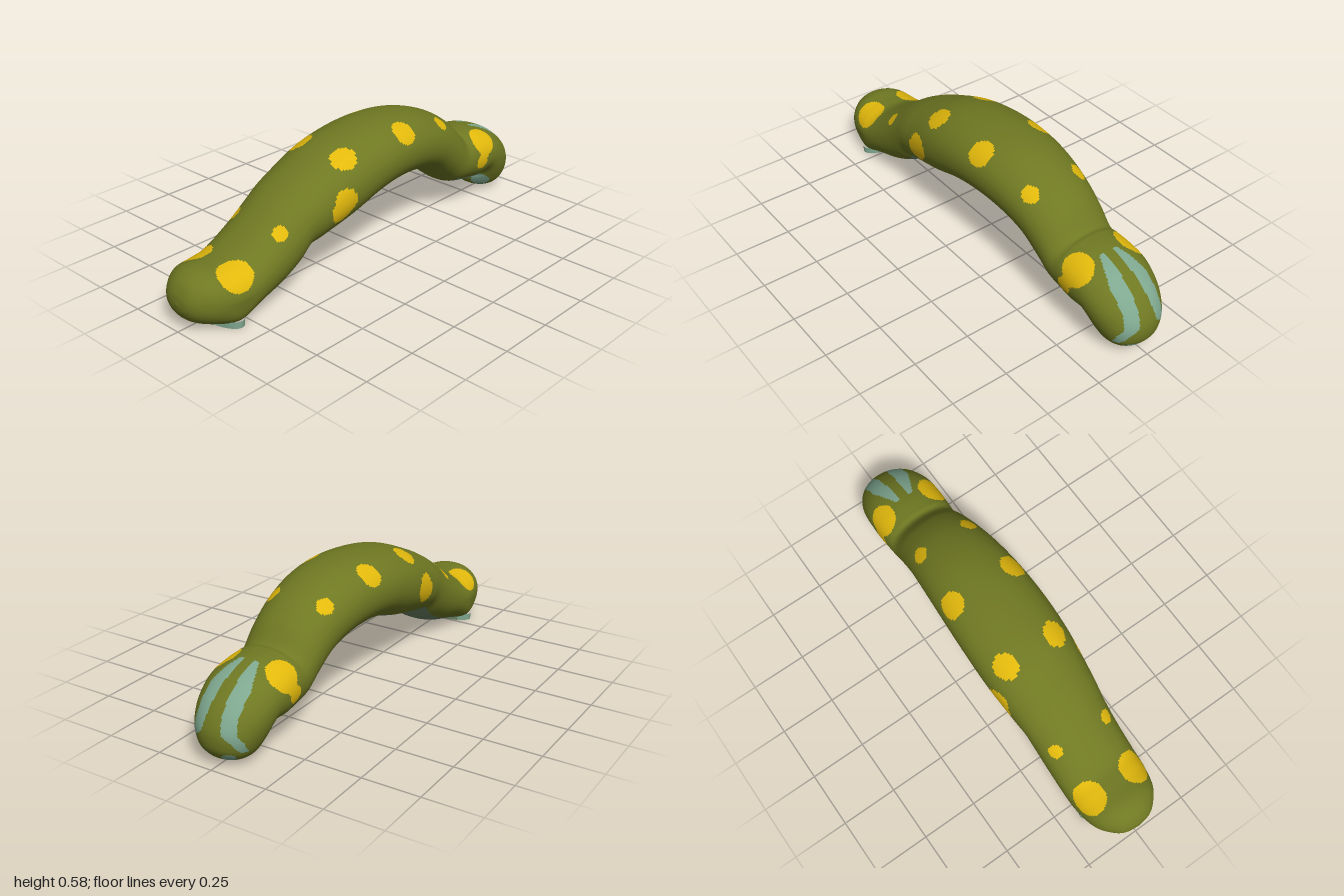
import * as THREE from 'three';

const mat = (name, color) => {
  const m = new THREE.MeshStandardMaterial({ color });
  m.name = name;
  return m;
};

// Body stations: top x, top y, bottom x, bottom y, half width
const stations = [
  [-1, 0.12, -1, 0.12, 0], [-0.99, 0.165, -0.99, 0.08, 0.06], [-0.96, 0.21, -0.96, 0.04, 0.105],
  [-0.9, 0.238, -0.9, 0.013, 0.15], [-0.81, 0.24, -0.81, 0.005, 0.172], [-0.73, 0.254, -0.72, 0.015, 0.177],
  [-0.61, 0.328, -0.59, 0.045, 0.178], [-0.52, 0.392, -0.48, 0.1, 0.18], [-0.46, 0.427, -0.42, 0.16, 0.184],
  [-0.39, 0.463, -0.35, 0.175, 0.192], [-0.22, 0.534, -0.18, 0.215, 0.207], [-0.05, 0.567, -0.02, 0.267, 0.209],
  [0.12, 0.577, 0.12, 0.287, 0.203], [0.28, 0.56, 0.27, 0.278, 0.191], [0.43, 0.51, 0.39, 0.24, 0.177],
  [0.54, 0.44, 0.48, 0.175, 0.168], [0.61, 0.366, 0.55, 0.128, 0.164], [0.65, 0.363, 0.63, 0.11, 0.167],
  [0.72, 0.357, 0.7, 0.1, 0.17], [0.8, 0.337, 0.76, 0.105, 0.168], [0.88, 0.297, 0.772, 0.088, 0.162],
  [0.95, 0.235, 0.772, 0.07, 0.152], [0.992, 0.16, 0.778, 0.05, 0.135], [0.994, 0.09, 0.788, 0.035, 0.115],
  [0.97, 0.045, 0.81, 0.022, 0.09], [0.935, 0.02, 0.84, 0.014, 0.055], [0.885, 0.011, 0.885, 0.011, 0],
];

// Round spots, mirrored across z: x, y, z, radius
const spots = [
  [-0.8, 0.215, 0.12, 0.075], [-0.58, 0.316, 0.14, 0.036], [-0.27, 0.355, 0.2, 0.06], [-0.29, 0.325, 0.2, 0.055],
  [-0.21, 0.517, 0.13, 0.058], [0.13, 0.525, 0.15, 0.058], [0.417, 0.487, 0.13, 0.039],
  [0.717, 0.305, 0.13, 0.07], [0.7, 0.255, 0.165, 0.03], [0.682, 0.222, 0.17, 0.036],
];
// Pale patches under the head
const patches = [[0.96, 0.045, 0.055, 0.029], [0.79, 0.06, 0.08, 0.046]];

const inside = (list, x, y, z) => list.some(([a, b, c, r]) => Math.hypot(x - a, y - b, z - c) < r);
const lerp = (t, table) => {
  for (let i = 1; i < table.length; i++) {
    const [t0, v0] = table[i - 1], [t1, v1] = table[i];
    if (t <= t1) return v0 + (v1 - v0) * Math.max(0, (t - t0) / (t1 - t0));
  }
  return table[table.length - 1][1];
};

// Colour region of a face: 0 skin, 1 spot, 2 pale marking, 3 belly
function region(x, y, z, up) {
  z = Math.abs(z);
  if (inside(spots, x, y, z)) return 1;
  if (inside(patches, x, y, z)) return 2;
  if (x > 0.74 && up > 0 && y > 0.075) {
    const inner = lerp(y, [[0.075, 0.102], [0.12, 0.08], [0.15, 0.045], [0.2, 0.035], [0.35, 0.022]]);
    const outer = lerp(y, [[0.075, 0.118], [0.12, 0.116], [0.15, 0.1], [0.2, 0.093]]);
    return z > inner && z < Math.min(outer, 0.045 + (x - 0.74) * 0.4) ? 2 : 0;
  }
  if (x > 0.56 && x < 0.76 && up < -0.68) return 2;
  if (x > -0.74 && x < -0.42 && up < -0.78) return 3;
  return x > -0.42 && x < 0.27 && up < -0.87 ? 3 : 0;
}

export function createModel() {
  const group = new THREE.Group();
  group.name = 'caterpillar';
  const skin = mat('olive skin', 0x6f7822);
  const yellow = mat('yellow spots', 0xe2b90c);
  const pale = mat('pale blue green', 0x7fa890);
  const moss = mat('grey green belly', 0x688163);

  // Body swept through the stations, squarer underneath at the tail foot
  const rail = (x, y) => new THREE.CatmullRomCurve3(
    stations.map(s => new THREE.Vector3(s[x], s[y], s[4])), false, 'catmullrom', 0.5);
  const top = rail(0, 1), bottom = rail(2, 3);
  const N = 390, M = 160, pos = [];
  const soft = (v, p) => Math.sign(v) * Math.pow(Math.abs(v), p);
  for (let i = 0; i <= N; i++) {
    const t = top.getPoint(i / N), b = bottom.getPoint(i / N);
    const foot = Math.exp(-(((b.x + 0.81) / 0.08) ** 2));
    for (let j = 0; j < M; j++) {
      const a = (j / M) * Math.PI * 2;
      const p = Math.cos(a) < 0 ? 0.94 - 0.5 * foot : 0.94;
      const c = soft(Math.cos(a), p), s = soft(Math.sin(a), p);
      // the foot narrows slightly toward the ground
      const w = Math.max(0, t.z) * (1 + Math.min(0, c) * 0.09 * foot);
      pos.push((t.x + b.x) / 2 + c * (t.x - b.x) / 2, (t.y + b.y) / 2 + c * (t.y - b.y) / 2, s * w);
    }
  }
  const faces = [[], [], [], []], all = [];
  for (let i = 0; i < N; i++) for (let j = 0; j < M; j++) {
    const k = (j + 1) % M;
    const a = i * M + j, b = i * M + k, c = a + M, d = b + M;
    const mid = o => (pos[a * 3 + o] + pos[d * 3 + o]) / 2;
    const up = Math.cos(((j + 0.5) / M) * Math.PI * 2);
    const quad = [a, b, c, b, d, c];
    faces[region(mid(0), mid(1), mid(2), up)].push(...quad);
    all.push(...quad);
  }
  const body = new THREE.BufferGeometry();
  body.setAttribute('position', new THREE.Float32BufferAttribute(pos, 3));
  body.setIndex(all);
  body.computeVertexNormals();
  [['body', skin], ['spots', yellow], ['paleMarkings', pale], ['belly', moss]].forEach(([name, m], n) => {
    const g = new THREE.BufferGeometry();
    g.setAttribute('position', body.getAttribute('position'));
    g.setAttribute('normal', body.getAttribute('normal'));
    g.setIndex(faces[n]);
    const mesh = new THREE.Mesh(g, m);
    mesh.name = name;
    group.add(mesh);
  });

  // Flat tail foot: pale rim, grey green toward the belly, olive sole
  const addFoot = (name, geometry, material, y) => {
    const mesh = new THREE.Mesh(geometry, material);
    mesh.name = name;
    mesh.scale.set(0.065, 1, 0.157);
    mesh.position.set(-0.81, y, 0);
    group.add(mesh);
  };
  const rim = (start, length) => new THREE.CylinderGeometry(1.01, 1, 0.03, 40, 1, true, start, length);
  addFoot('tailFootRim', rim(Math.PI * 0.75, Math.PI * 1.5), pale, 0.015);
  addFoot('tailFootInnerRim', rim(Math.PI * 0.25, Math.PI * 0.5), moss, 0.015);
  addFoot('tailFootSole', new THREE.CircleGeometry(1, 48).rotateX(Math.PI / 2), skin, 0);
  return group;
}
